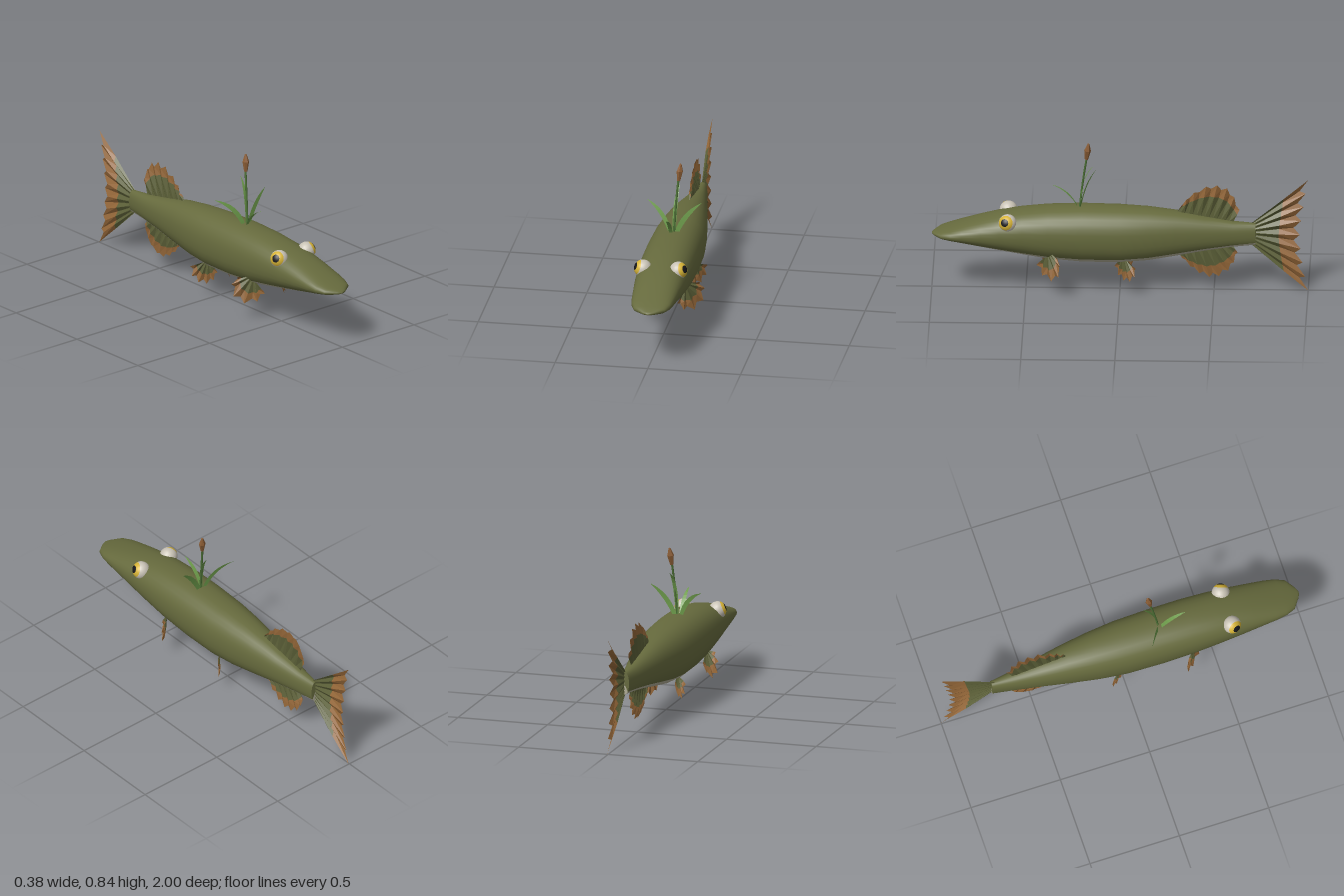
import * as THREE from 'three';

const mat = (name, color, opts = {}) => {
  const m = new THREE.MeshStandardMaterial({ color, ...opts });
  m.name = name;
  return m;
};
const V = (x, y, z) => new THREE.Vector3(x, y, z);
const thin = { side: THREE.DoubleSide, flatShading: true };

const skin = mat('olive skin', 0x666a3d);
const belly = mat('pale belly', 0xb3af98);
const finOlive = mat('fin olive', 0x5c6038, thin);
const finBrown = mat('fin brown', 0x936638, thin);
const white = mat('eye white', 0xc9c3b6);
const yellow = mat('iris yellow', 0xd6b336);
const black = mat('pupil black', 0x17171a);
const leafGreen = mat('leaf green', 0x6c9a4a, thin);
const stemGreen = mat('stem green', 0x4c7036);
const spikeBrown = mat('reed spike brown', 0x8a5c34, { flatShading: true });

const add = (parent, name, geo, material) => {
  const m = new THREE.Mesh(geo, material);
  m.name = name;
  parent.add(m);
  return m;
};

// Body sections from snout to tail: z, top, bottom, half width
const sections = [
  [1.0, 0.313, 0.306, 0.006], [0.99, 0.32, 0.301, 0.03], [0.95, 0.337, 0.293, 0.085],
  [0.9, 0.353, 0.284, 0.105], [0.84, 0.373, 0.272, 0.115], [0.74, 0.404, 0.25, 0.124],
  [0.64, 0.43, 0.23, 0.133], [0.52, 0.452, 0.207, 0.14], [0.38, 0.467, 0.183, 0.145],
  [0.2, 0.474, 0.167, 0.145], [0, 0.471, 0.164, 0.139], [-0.15, 0.463, 0.176, 0.123],
  [-0.3, 0.446, 0.201, 0.1], [-0.45, 0.418, 0.228, 0.073], [-0.6, 0.392, 0.249, 0.046],
  [-0.72, 0.382, 0.26, 0.026], [-0.72, 0.382, 0.26, 0.026], [-0.722, 0.322, 0.32, 0.001],
];

function bodyGeometry() {
  const n = 32, pos = [], upper = [], lower = [];
  const bulge = (v) => Math.sign(v) * Math.pow(Math.abs(v), 2 / 2.3);
  for (const [z, top, bottom, w] of sections) {
    for (let j = 0; j < n; j++) {
      const a = (j / n) * Math.PI * 2;
      pos.push(w * bulge(Math.cos(a)), (top + bottom) / 2 + ((top - bottom) / 2) * bulge(Math.sin(a)), z);
    }
  }
  for (let i = 0; i < sections.length - 1; i++) {
    for (let j = 0; j < n; j++) {
      const a = i * n + j, b = i * n + ((j + 1) % n), c = a + n, d = b + n;
      (j >= 20 && j < 28 ? lower : upper).push(a, c, b, b, c, d);
    }
  }
  // Close the snout tip
  for (let j = 1; j < n - 1; j++) upper.push(0, j, j + 1);
  const g = new THREE.BufferGeometry();
  g.setAttribute('position', new THREE.Float32BufferAttribute(pos, 3));
  g.setIndex([...upper, ...lower]);
  g.addGroup(0, upper.length, 0);
  g.addGroup(upper.length, lower.length, 1);
  g.computeVertexNormals();
  return g;
}

// Pleated fan between a base line and a tip curve, olive inside and brown at the rim
function fin(name, rays, base, tips, split, pleat, pleatDir = V(1, 0, 0), notch = 0.87) {
  const curve = new THREE.CatmullRomCurve3(tips.map((p) => V(...p)));
  const b0 = V(...base[0]), b1 = V(...base[1]);
  const inner = [], outer = [], rows = [];
  for (let i = 0; i <= rays * 2; i++) {
    const t = i / (rays * 2), valley = i % 2;
    const root = b0.clone().lerp(b1, t);
    const tip = root.clone().lerp(curve.getPoint(t), valley ? notch : 1);
    const mid = root.clone().lerp(tip, split + (valley ? 0.04 : -0.04));
    const off = valley ? -pleat : pleat;
    mid.addScaledVector(pleatDir, off * 0.8);
    tip.addScaledVector(pleatDir, off * 0.6);
    rows.push([root, mid, tip]);
  }
  const quad = (list, a, b, c, d) => [a, b, c, a, c, d].forEach((p) => list.push(p.x, p.y, p.z));
  for (let i = 0; i < rows.length - 1; i++) {
    const [r, m, t] = rows[i], [r2, m2, t2] = rows[i + 1];
    quad(inner, r, m, m2, r2);
    quad(outer, m, t, t2, m2);
  }
  const group = new THREE.Group();
  group.name = name;
  [['finWeb', inner, finOlive], ['finRim', outer, finBrown]].forEach(([part, list, material]) => {
    const g = new THREE.BufferGeometry();
    g.setAttribute('position', new THREE.Float32BufferAttribute(list, 3));
    g.computeVertexNormals();
    add(group, part, g, material);
  });
  return group;
}

// Eyeball made of pupil, iris and white bands around its viewing axis
function eye(s) {
  const g = new THREE.Group();
  g.name = s > 0 ? 'leftEye' : 'rightEye';
  const band = (name, from, to, m) =>
    add(g, name, new THREE.SphereGeometry(0.048, 24, 8, 0, Math.PI * 2, from, to - from), m);
  band('pupil', 0, 0.45, black);
  band('iris', 0.45, 0.95, yellow);
  band('eyeWhite', 0.95, Math.PI, white);
  g.position.set(s * 0.095, 0.407, 0.595);
  g.quaternion.setFromUnitVectors(V(0, 1, 0), V(s * 0.86, 0.36, 0.34).normalize());
  return g;
}

// Curved grass blade that tapers to a point
function leaf(parent, name, from, ctrl, to, width, side) {
  const curve = new THREE.QuadraticBezierCurve3(V(...from), V(...ctrl), V(...to));
  const steps = 8, pos = [], idx = [], dir = V(...side).normalize();
  for (let i = 0; i <= steps; i++) {
    const t = i / steps, p = curve.getPoint(t);
    const w = (width / 2) * (0.75 + t) * (1 - t * t);
    const l = p.clone().addScaledVector(dir, -w), r = p.clone().addScaledVector(dir, w);
    pos.push(l.x, l.y, l.z, r.x, r.y, r.z);
    if (i < steps) idx.push(i * 2, i * 2 + 1, i * 2 + 2, i * 2 + 1, i * 2 + 3, i * 2 + 2);
  }
  const g = new THREE.BufferGeometry();
  g.setAttribute('position', new THREE.Float32BufferAttribute(pos, 3));
  g.setIndex(idx);
  g.computeVertexNormals();
  add(parent, name, g, leafGreen);
}

export function createModel() {
  const model = new THREE.Group();
  model.name = 'fish';
  add(model, 'body', bodyGeometry(), [skin, belly]);

  // Fins on the centre line
  model.add(fin('tailFin', 8, [[0, 0.375, -0.69], [0, 0.268, -0.69]],
    [[0, 0.635, -1], [0, 0.48, -0.975], [0, 0.32, -0.955], [0, 0.16, -0.97], [0, 0, -1]], 0.62, 0.01));
  model.add(fin('dorsalFin', 7, [[0, 0.44, -0.3], [0, 0.385, -0.6]],
    [[0, 0.47, -0.32], [0, 0.545, -0.38], [0, 0.6, -0.49], [0, 0.575, -0.58], [0, 0.46, -0.635]], 0.68, 0.009));
  model.add(fin('analFin', 7, [[0, 0.215, -0.31], [0, 0.255, -0.6]],
    [[0, 0.18, -0.33], [0, 0.1, -0.41], [0, 0.07, -0.5], [0, 0.12, -0.585], [0, 0.215, -0.625]], 0.66, 0.009));

  // Paired fins and eyes
  for (const s of [1, -1]) {
    const label = s > 0 ? 'left' : 'right';
    const m = (pts) => pts.map(([x, y, z]) => [x * s, y, z]);
    const pleatDir = V(s, 0, 1).normalize();
    model.add(fin(label + 'PectoralFin', 5, m([[0.122, 0.245, 0.36], [0.085, 0.205, 0.4]]),
      m([[0.165, 0.245, 0.335], [0.19, 0.19, 0.31], [0.165, 0.105, 0.335], [0.1, 0.1, 0.4], [0.06, 0.155, 0.44]]),
      0.6, 0.008, pleatDir, 0.8));
    model.add(fin(label + 'PelvicFin', 5, m([[0.09, 0.195, -0.04], [0.06, 0.19, 0]]),
      m([[0.135, 0.17, -0.09], [0.125, 0.105, -0.08], [0.09, 0.073, -0.04], [0.058, 0.09, 0], [0.04, 0.145, 0.025]]),
      0.6, 0.007, pleatDir, 0.8));
    model.add(eye(s));
  }

  // Reed tuft growing from the back
  const reeds = new THREE.Group();
  reeds.name = 'reedTuft';
  model.add(reeds);
  leaf(reeds, 'rightLeaf', [-0.012, 0.455, 0.21], [-0.05, 0.58, 0.19], [-0.155, 0.617, 0.13], 0.026, [1, 0.6, 0.2]);
  leaf(reeds, 'leftLeaf', [0.016, 0.455, 0.21], [0.055, 0.57, 0.21], [0.15, 0.635, 0.19], 0.028, [1, -0.6, 0]);
  leaf(reeds, 'frontLeaf', [-0.008, 0.455, 0.22], [-0.01, 0.56, 0.27], [-0.012, 0.587, 0.365], 0.022, [1, 0, 0]);
  leaf(reeds, 'backLeaf', [0.006, 0.455, 0.21], [0.008, 0.65, 0.21], [0.024, 0.715, 0.135], 0.022, [1, 0, 0]);
  const stem = new THREE.QuadraticBezierCurve3(V(0.006, 0.455, 0.215), V(0.012, 0.62, 0.2), V(0.025, 0.765, 0.175));
  add(reeds, 'reedStem', new THREE.TubeGeometry(stem, 8, 0.006, 6), stemGreen);
  const profile = [[0, 0], [0.009, 0.002], [0.018, 0.055], [0.005, 0.096], [0, 0.097]].map((p) => new THREE.Vector2(...p));
  const spike = add(reeds, 'reedSpike', new THREE.LatheGeometry(profile, 6), spikeBrown);
  spike.position.set(0.025, 0.748, 0.178);
  spike.quaternion.setFromUnitVectors(V(0, 1, 0), V(0.1, 1, -0.12).normalize());

  return model;
}
